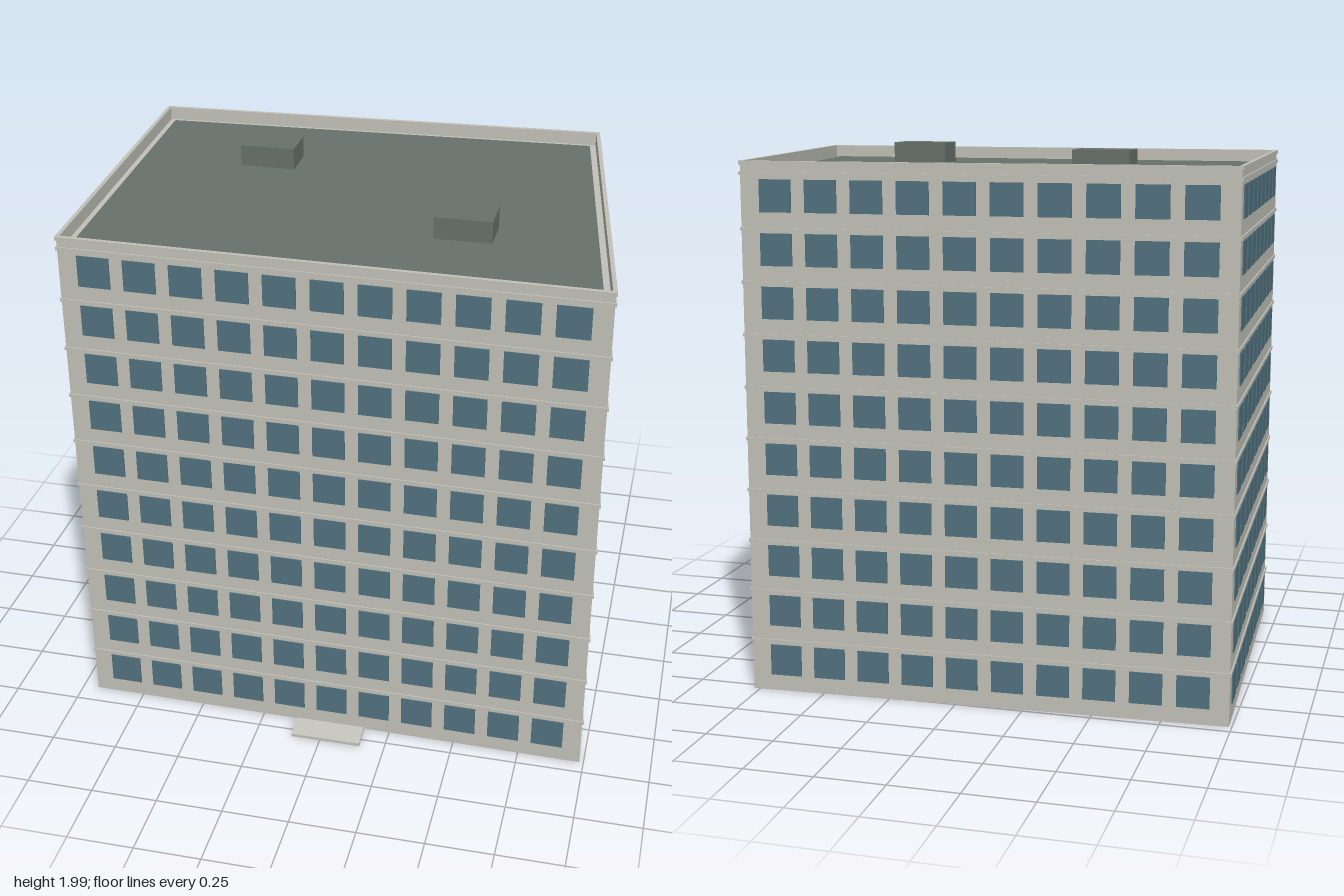
import * as THREE from 'three';
import { mergeGeometries } from 'three/addons/utils/BufferGeometryUtils.js';

// Footprint corners [x, z]: front left of page, front right, back right, back left
const PLAN = [[-0.94, 0.67], [0.985, 0.695], [0.772, -0.784], [-0.99, -0.706]];
const FLOORS = 10, FLOOR_H = 0.19, ROOF_Y = FLOORS * FLOOR_H;

// The four walls with direction and outward normal
const edges = PLAN.map((a, i) => {
  const b = PLAN[(i + 1) % 4];
  const len = Math.hypot(b[0] - a[0], b[1] - a[1]);
  const d = [(b[0] - a[0]) / len, (b[1] - a[1]) / len];
  return { a, len, d, n: [-d[1], d[0]] };
});

// Footprint grown (or shrunk) evenly by a distance
function offsetPlan(dist) {
  return edges.map((e, i) => {
    const p = edges[(i + 3) % 4];
    const k = dist / (1 + p.n[0] * e.n[0] + p.n[1] * e.n[1]);
    return new THREE.Vector2(e.a[0] + k * (p.n[0] + e.n[0]), -(e.a[1] + k * (p.n[1] + e.n[1])));
  });
}

// Upright prism or ring on the footprint
function slab(y0, y1, outer, inner) {
  const shape = new THREE.Shape(offsetPlan(outer));
  if (inner !== undefined) shape.holes.push(new THREE.Path(offsetPlan(inner)));
  const g = new THREE.ExtrudeGeometry(shape, { depth: y1 - y0, bevelEnabled: false });
  return g.rotateX(-Math.PI / 2).translate(0, y0, 0);
}

export function createModel() {
  const model = new THREE.Group();
  const wall = new THREE.MeshStandardMaterial({ color: 0xc2c2ba });
  const glass = new THREE.MeshStandardMaterial({ color: 0x52727f });
  const roof = new THREE.MeshStandardMaterial({ color: 0x68716c });
  wall.name = 'concrete';
  glass.name = 'window glass';
  roof.name = 'roof covering';

  const add = (name, geometry, material) => {
    const mesh = new THREE.Mesh(geometry, material);
    mesh.name = name;
    model.add(mesh);
    return mesh;
  };

  // Main block, floor bands and parapet
  add('walls', slab(0, ROOF_Y, 0), wall);
  const bands = [];
  for (let f = 1; f < FLOORS; f++) bands.push(slab(f * FLOOR_H - 0.006, f * FLOOR_H + 0.006, 0.005, -0.01));
  add('floorBands', mergeGeometries(bands), wall);
  add('parapet', slab(ROOF_Y, 1.94, 0, -0.01), wall);
  add('parapetCap', slab(1.937, 1.95, 0.005, -0.01), wall);
  add('parapetFoot', slab(ROOF_Y, ROOF_Y + 0.012, 0.005, -0.005), wall);

  // Windows as thin plates spread evenly along every wall
  const columns = [11, 8, 10, 8];
  edges.forEach((e, i) => {
    const plates = [];
    const step = (e.len - 0.09) / columns[i];
    for (let c = 0; c < columns[i]; c++) {
      const t = 0.045 + (c + 0.5) * step;
      for (let f = 0; f < FLOORS; f++) {
        const g = new THREE.BoxGeometry(0.118, 0.116, 0.008);
        g.rotateY(Math.atan2(e.n[0], e.n[1]));
        g.translate(e.a[0] + e.d[0] * t, 0.118 + f * FLOOR_H, e.a[1] + e.d[1] * t);
        plates.push(g);
      }
    }
    add(['front', 'right', 'back', 'left'][i].replace('right', 'plusX').replace('left', 'minusX') + 'Windows',
      mergeGeometries(plates), glass);
  });

  // Flat roof and the two roof units
  add('roof', slab(ROOF_Y, ROOF_Y + 0.004, -0.033), roof);
  for (const [x, z] of [[-0.44, -0.313], [0.415, 0.222]]) {
    add('roofUnit', new THREE.BoxGeometry(0.21, 0.085, 0.146), roof).position.set(x, ROOF_Y + 0.0425, z);
  }

  // Sloping entrance slab in front of the door side
  const side = new THREE.Shape([[0.71, 0.016], [0.79, 0], [0.79, 0.012], [0.71, 0.028]]
    .map(([z, y]) => new THREE.Vector2(-z, y)));
  const ramp = new THREE.ExtrudeGeometry(side, { depth: 0.266, bevelEnabled: false });
  add('entranceSlab', ramp.rotateY(Math.PI / 2).translate(-0.11, 0, 0), wall);

  return model;
}
